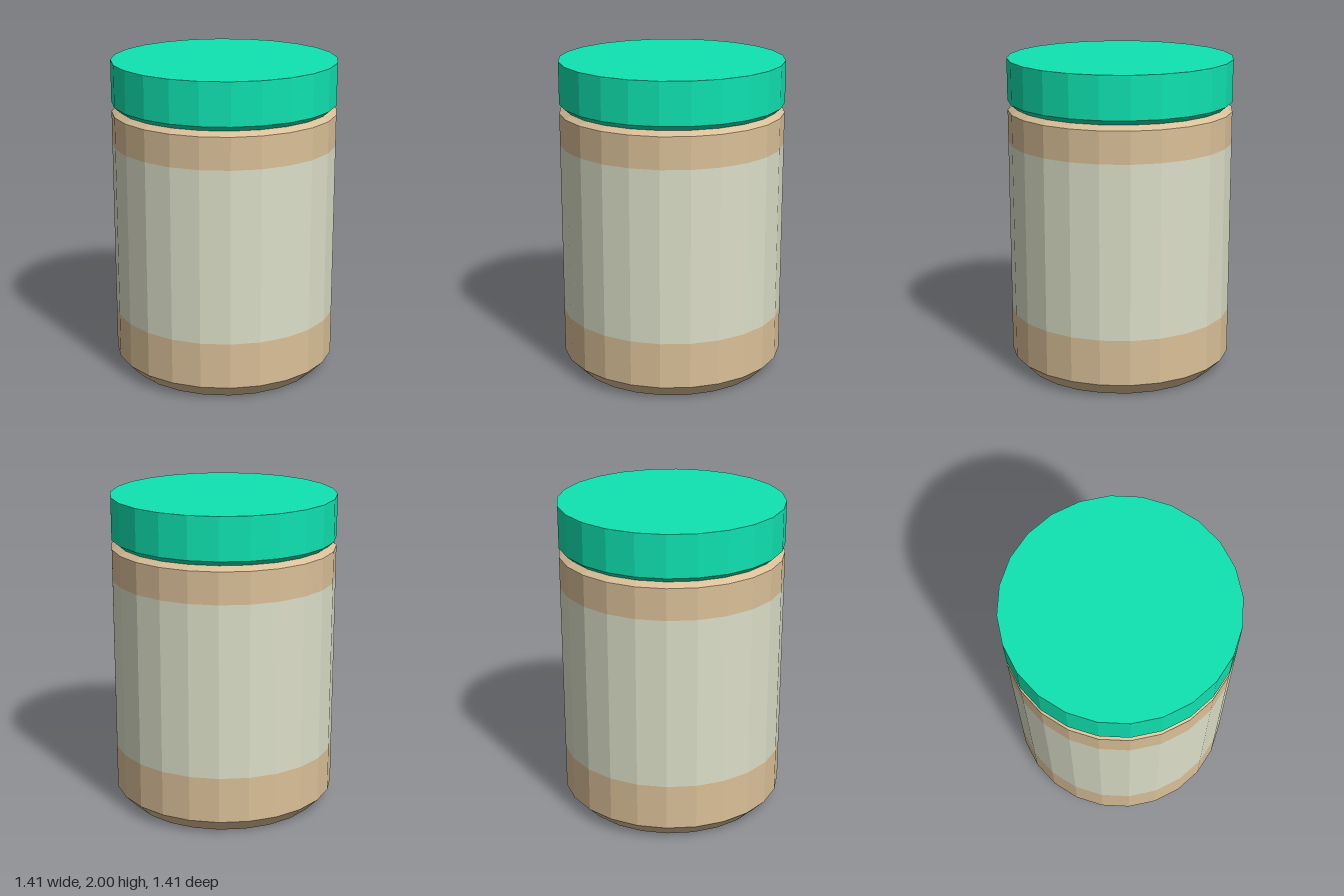
import * as THREE from 'three';

const SIDES = 24;
const R = 0.707;      // main radius
const NECK = 0.67;    // radius of the groove under the lid
const BASE = 0.62;    // radius of the flat bottom

export function createModel() {
  const jar = new THREE.Group();
  jar.name = 'jar';

  const material = (color) => new THREE.MeshStandardMaterial({ color, flatShading: true });
  const glass = material(0xdac098);
  const paper = material(0xdcdfc8);
  const plastic = material(0x0fe2b1);

  // Faceted ring or cap turned from a [radius, height] profile, bottom to top
  const turned = (name, mat, profile) => {
    const points = profile.map(([r, y]) => new THREE.Vector2(r, y));
    const mesh = new THREE.Mesh(new THREE.LatheGeometry(points, SIDES), mat);
    mesh.name = name;
    jar.add(mesh);
  };

  // Jar with bevelled foot, split around the flush label
  turned('jarBase', glass, [[0, 0], [BASE, 0], [R, 0.09], [R, 0.38]]);
  turned('label', paper, [[R, 0.38], [R, 1.475]]);
  turned('jarShoulder', glass, [[R, 1.475], [R, 1.675], [NECK, 1.703]]);

  // Lid with bevelled lower rim
  turned('lid', plastic, [[NECK, 1.703], [R, 1.735], [R, 2], [0, 2]]);

  return jar;
}
